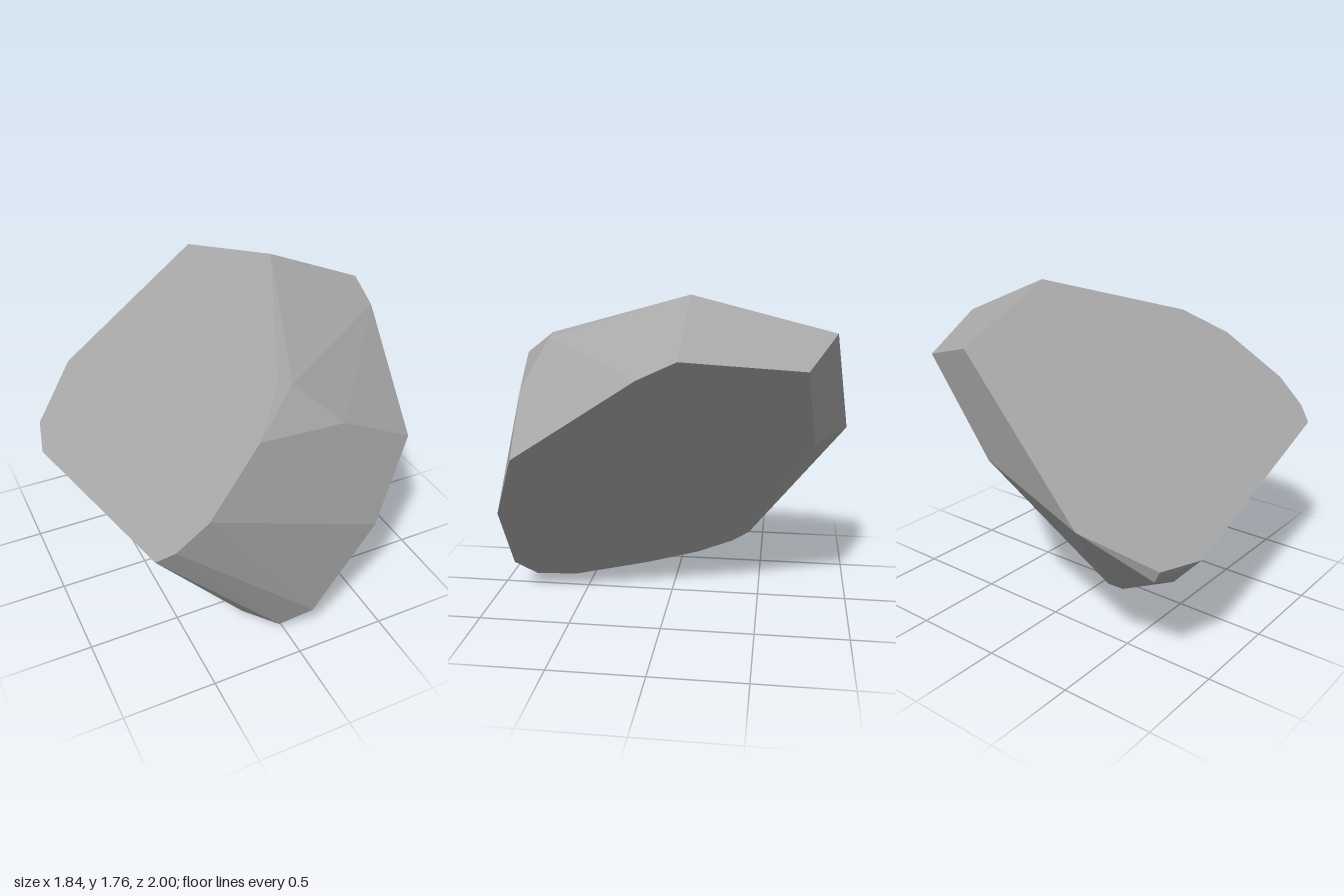
import * as THREE from 'three';
import { ConvexGeometry } from 'three/addons/geometries/ConvexGeometry.js';

// Rim of the broad upper face as [x, z]; heights follow its tilted plane.
const upperRim = [
  [-0.58, -1], [0.2, -0.88], [0.36, -0.14], [-0.02, 0.67], [-0.21, 0.87],
  [-0.52, 1], [-0.68, 0.98], [-0.76, 0.92], [-0.92, -0.48], [-0.86, -0.74],
];

// Rim of the broad lower face as [y, z]; x follows its tilted plane.
const lowerRim = [
  [1.52, -0.14], [1.43, 0.05], [0.99, 0.7], [0.61, 0.87], [0.175, 0.91],
  [0.045, 0.82], [0, 0.61], [0.05, 0.19], [0.11, -0.12], [0.19, -0.33],
  [0.26, -0.43], [0.96, -0.785], [1.43, -0.73],
];

// Extra corners chipped into the sides as [x, y, z].
const chips = [
  [0.06, 1.485, 0.67], [0.31, 1.25, 0.77],
  [-0.83, 0.59, -0.74], [-0.81, 0.5, -0.55], [-0.79, 0.485, -0.4],
];

export function createModel() {
  const group = new THREE.Group();
  group.name = 'rock';

  const points = [
    ...upperRim.map(([x, z]) => new THREE.Vector3(x, 1.461 + 0.8645 * x + 0.089 * z, z)),
    ...lowerRim.map(([y, z]) => new THREE.Vector3(-0.384 + 0.89 * y + 0.383 * z, y, z)),
    ...chips.map((p) => new THREE.Vector3(...p)),
  ];

  const stone = new THREE.MeshStandardMaterial({ color: 0xaaaaaa });
  stone.name = 'grey stone';

  // Faceted boulder
  const boulder = new THREE.Mesh(new ConvexGeometry(points), stone);
  boulder.name = 'boulder';
  group.add(boulder);
  return group;
}
